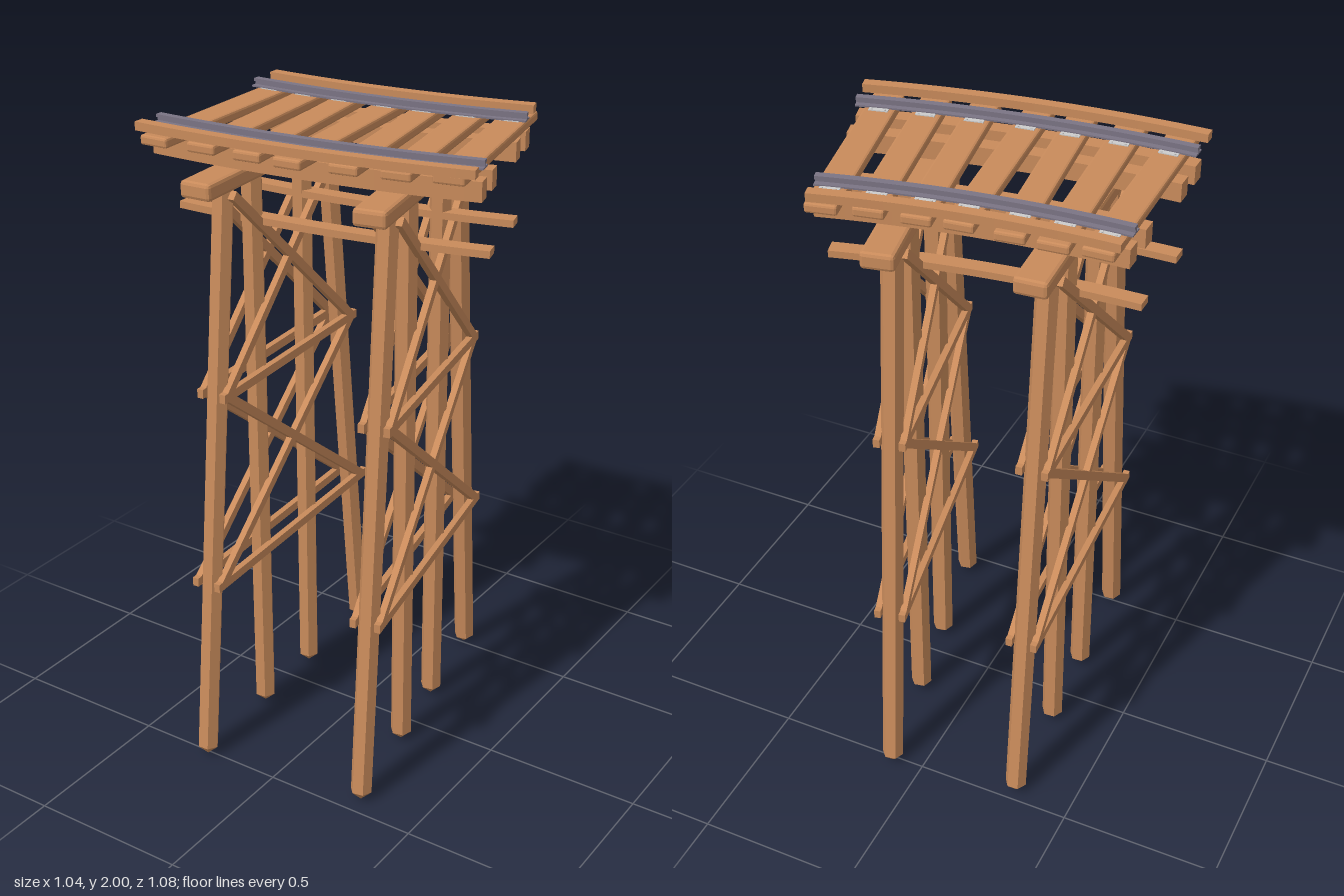
import * as THREE from 'three';
import { RoundedBoxGeometry } from 'three/addons/geometries/RoundedBoxGeometry.js';

// Centre and sweep of the curved track, in plan
const CX = -0.52, CZ = -3.63, SWEEP = Math.PI / 12, R_MID = 3.663;
const RAIL_RADII = [3.426, 3.9];

export function createModel() {
  const wood = new THREE.MeshStandardMaterial({ color: 0xc98b5b });
  wood.name = 'wood';
  const steel = new THREE.MeshStandardMaterial({ color: 0x7b7484 });
  steel.name = 'railSteel';
  const plateMetal = new THREE.MeshStandardMaterial({ color: 0xcccccc });
  plateMetal.name = 'plateMetal';

  const model = new THREE.Group();
  model.name = 'curvedTrestle';

  const add = (parent, name, geometry, material) => {
    const mesh = new THREE.Mesh(geometry, material);
    mesh.name = name;
    parent.add(mesh);
    return mesh;
  };
  const faceted = (geometry) => {
    const g = geometry.index ? geometry.toNonIndexed() : geometry;
    g.computeVertexNormals();
    return g;
  };

  // Beam of rectangular section that follows the track curve
  const arcBeam = (parent, name, radius, width, y, height, material) => {
    const s = new THREE.Shape();
    const start = -Math.PI / 2, end = start + SWEEP;
    s.absarc(CX, -CZ, radius + width / 2, start, end, false);
    s.absarc(CX, -CZ, radius - width / 2, end, start, true);
    s.closePath();
    const g = new THREE.ExtrudeGeometry(s, { depth: height, bevelEnabled: false, curveSegments: 10 });
    g.rotateX(-Math.PI / 2);
    g.translate(0, y, 0);
    return add(parent, name, g, material);
  };

  // Stringers under the deck, thin side rods and guard timbers
  for (const r of [3.415, 3.527, 3.797, 3.905]) arcBeam(model, 'stringer', r, 0.05, 1.887, 0.058, wood);
  for (const r of [3.527, 3.797]) arcBeam(model, 'lowerRod', r, 0.05, 1.69, 0.022, wood);
  for (const r of [3.335, 3.99]) arcBeam(model, 'guardTimber', r, 0.034, 1.974, 0.026, wood);

  // Rails: foot, web and head
  for (const r of RAIL_RADII) {
    const rail = new THREE.Group();
    rail.name = 'rail';
    arcBeam(rail, 'railFoot', r, 0.045, 1.975, 0.005, steel);
    arcBeam(rail, 'railWeb', r, 0.009, 1.98, 0.011, steel);
    arcBeam(rail, 'railHead', r, 0.022, 1.99, 0.009, steel);
    model.add(rail);
  }

  // Slightly uneven ties: back x, back z, front x, front z, width
  const ties = [
    [-0.462, -0.322, -0.437, 0.4, 0.092],
    [-0.343, -0.34, -0.284, 0.382, 0.092],
    [-0.222, -0.345, -0.133, 0.372, 0.088],
    [-0.077, -0.35, -0.003, 0.364, 0.088],
    [0.038, -0.37, 0.155, 0.325, 0.088],
    [0.17, -0.39, 0.3, 0.288, 0.09],
    [0.295, -0.425, 0.435, 0.24, 0.094],
  ];
  for (const [x0, z0, x1, z1, width] of ties) {
    const angle = Math.atan2(x1 - x0, z1 - z0);
    const length = Math.hypot(x1 - x0, z1 - z0);
    const tie = add(model, 'tie', faceted(new RoundedBoxGeometry(width, 0.03, length, 1, 0.007)), wood);
    tie.position.set((x0 + x1) / 2, 1.959, (z0 + z1) / 2);
    tie.rotation.y = angle;

    // Plate and spikes where each rail crosses the tie
    const rBack = Math.hypot(x0 - CX, z0 - CZ), rFront = Math.hypot(x1 - CX, z1 - CZ);
    for (const r of RAIL_RADII) {
      const t = (r - 0.008 - rBack) / (rFront - rBack);
      const seat = new THREE.Group();
      seat.name = 'railSeat';
      seat.position.set(x0 + (x1 - x0) * t, 1.975, z0 + (z1 - z0) * t);
      seat.rotation.y = angle;
      add(seat, 'tiePlate', new THREE.BoxGeometry(0.058, 0.004, 0.062), plateMetal);
      for (const sx of [-1, 1]) for (const sz of [-1, 1]) {
        const spike = add(seat, 'spike', new THREE.CylinderGeometry(0.003, 0.003, 0.003, 6), plateMetal);
        spike.position.set(sx * 0.02, 0.003, sz * 0.026);
      }
      model.add(seat);
    }
  }

  // Six-sided pile with a pointed foot
  const pile = (parent, name, zBottom, zTop) => {
    const dy = 1.845, dz = zTop - zBottom, length = Math.hypot(dy, dz);
    const profile = [[0, 0.005], [0.034, 0.036], [0.034, length], [0, length]].map(p => new THREE.Vector2(...p));
    const mesh = add(parent, name, faceted(new THREE.LatheGeometry(profile, 6, Math.PI / 6)), wood);
    mesh.position.z = zBottom;
    mesh.rotation.x = Math.atan2(dz, dy);
  };

  // Straight brace on one face of a bent
  const brace = (parent, name, x, y0, z0, y1, z1) => {
    const dy = y1 - y0, dz = z1 - z0;
    const mesh = add(parent, name, new THREE.BoxGeometry(0.02, 0.028, Math.hypot(dy, dz)), wood);
    mesh.position.set(x, (y0 + y1) / 2, (z0 + z1) / 2);
    mesh.rotation.x = -Math.atan2(dy, dz);
  };
  const legZ = y => 0.485 - 0.2 * y / 1.845;

  // Two bents, each square to the curve
  for (const part of [0.25, 0.75]) {
    const a = SWEEP * part;
    const bent = new THREE.Group();
    bent.name = 'bent';
    bent.position.set(CX + R_MID * Math.sin(a), 0, CZ + R_MID * Math.cos(a));
    bent.rotation.y = a;
    model.add(bent);

    const cap = add(bent, 'cap', faceted(new RoundedBoxGeometry(0.1, 0.052, 0.86, 1, 0.011)), wood);
    cap.position.y = 1.861;

    for (const s of [-1, 1]) {
      pile(bent, 'batteredPile', 0.485 * s, 0.285 * s);
      pile(bent, 'uprightPile', 0.14 * s, 0.14 * s);
    }

    // Girts and crossed braces on both faces
    const levels = [0.61, 1.22, 1.82];
    for (const x of [-0.039, 0.039]) {
      for (const y of levels.slice(0, 2)) brace(bent, 'girt', x, y, -legZ(y) - 0.035, y, legZ(y) + 0.035);
      for (let i = 0; i < 2; i++) for (const s of [-1, 1]) {
        const y0 = levels[i], y1 = levels[i + 1];
        brace(bent, 'diagonalBrace', x, y0, s * (legZ(y0) + 0.012), y1, -s * (legZ(y1) + 0.012));
      }
    }
  }
  return model;
}
